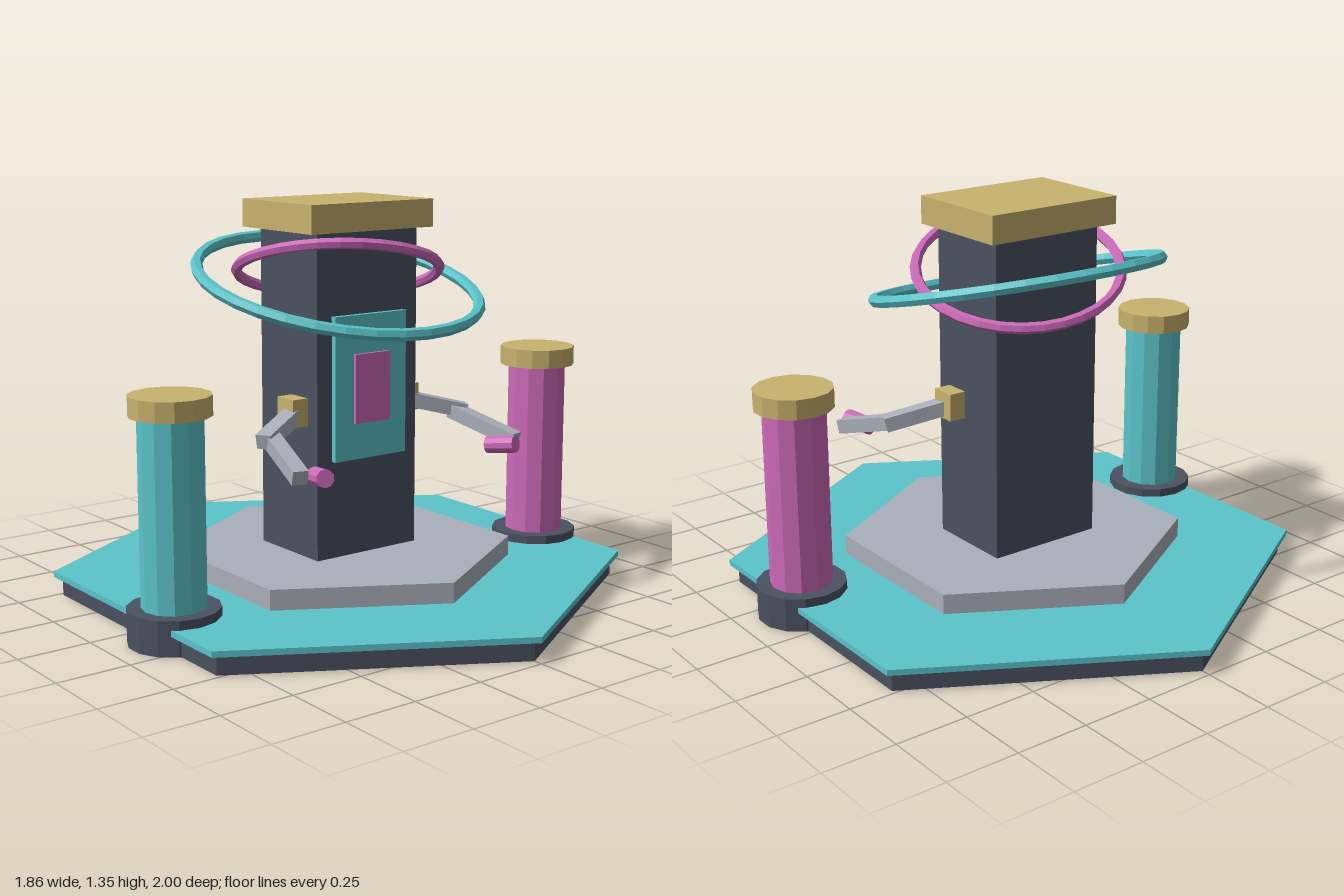
import * as THREE from 'three';

function material(name, color) {
  const m = new THREE.MeshStandardMaterial({ color });
  m.name = name;
  m.flatShading = true;
  return m;
}

export function createModel() {
  const model = new THREE.Group();
  model.name = 'ringedPylon';

  const slate = material('slate', 0x4b5160);
  const teal = material('teal', 0x5bc4ca);
  const gold = material('gold', 0xc8b26e);
  const grey = material('grey', 0xaab0ba);
  const pink = material('pink', 0xcc6ab8);

  function add(parent, name, geometry, mat, x = 0, y = 0, z = 0) {
    const mesh = new THREE.Mesh(geometry, mat);
    mesh.name = name;
    mesh.position.set(x, y, z);
    parent.add(mesh);
    return mesh;
  }
  const box = (w, h, d) => new THREE.BoxGeometry(w, h, d);
  // Upright prism between two heights
  function prism(parent, name, mat, r, y0, y1, sides, x = 0, z = 0) {
    return add(parent, name, new THREE.CylinderGeometry(r, r, y1 - y0, sides), mat, x, (y0 + y1) / 2, z);
  }
  // Part whose local z axis runs from a to b
  function span(parent, name, mat, a, b, makeGeometry) {
    const from = new THREE.Vector3(...a), to = new THREE.Vector3(...b);
    const mid = from.clone().lerp(to, 0.5);
    const mesh = add(parent, name, makeGeometry(from.distanceTo(to)), mat, mid.x, mid.y, mid.z);
    mesh.up.set(0, 1, 0);
    mesh.lookAt(to);
    return mesh;
  }

  // Stepped hexagonal platform
  prism(model, 'platformBase', slate, 0.97, 0, 0.066, 6);
  prism(model, 'platformDeck', teal, 1, 0.066, 0.086, 6);
  prism(model, 'platformStep', grey, 0.595, 0.086, 0.155, 6);

  // Central column with cap and front screen
  add(model, 'column', box(0.42, 1.105, 0.32), slate, 0, 0.7075, -0.02);
  add(model, 'columnCap', box(0.51, 0.095, 0.395), gold, 0, 1.304, -0.025);
  add(model, 'screenFrame', box(0.3, 0.49, 0.02), teal, 0, 0.735, 0.15);
  add(model, 'screenInset', box(0.146, 0.235, 0.012), pink, 0, 0.732, 0.166);

  // Tilted rings around the column
  const ring = (R, t) => new THREE.TorusGeometry(R, t, 6, 32).rotateX(Math.PI / 2);
  add(model, 'outerRing', ring(0.487, 0.021), teal, 0, 1.07, -0.02).rotation.x = 0.25;
  add(model, 'innerRing', ring(0.345, 0.019), pink, 0, 1.11, -0.025).rotation.set(-0.3, 0, -0.2);

  for (const s of [1, -1]) {
    const side = s > 0 ? 'left' : 'right';

    // Side pillar
    const pillar = new THREE.Group();
    pillar.name = side + 'Pillar';
    pillar.position.set(0.78 * s, 0, 0.15);
    prism(pillar, 'pillarFoot', slate, 0.152, 0, 0.116, 14);
    prism(pillar, 'pillarShaft', s > 0 ? pink : teal, 0.105, 0.116, 0.73, 12);
    prism(pillar, 'pillarCap', gold, 0.133, 0.73, 0.796, 14);
    model.add(pillar);

    // Jointed arm
    const arm = new THREE.Group();
    arm.name = side + 'Arm';
    add(arm, 'shoulder', box(0.07, 0.095, 0.09), gold, 0.235 * s, 0.658, 0.042);
    span(arm, 'upperArm', grey, [0.22 * s, 0.655, 0.04], [0.432 * s, 0.597, 0.15], (l) => box(0.055, 0.05, l));
    span(arm, 'forearm', grey, [0.39 * s, 0.6, 0.13], [0.457 * s, 0.528, 0.385], (l) => box(0.052, 0.048, l));
    span(arm, 'hand', pink, [0.368 * s, 0.515, 0.342], [0.403 * s, 0.53, 0.443],
      (l) => new THREE.CylinderGeometry(0.03, 0.03, l, 10).rotateX(Math.PI / 2));
    model.add(arm);
  }

  return model;
}
